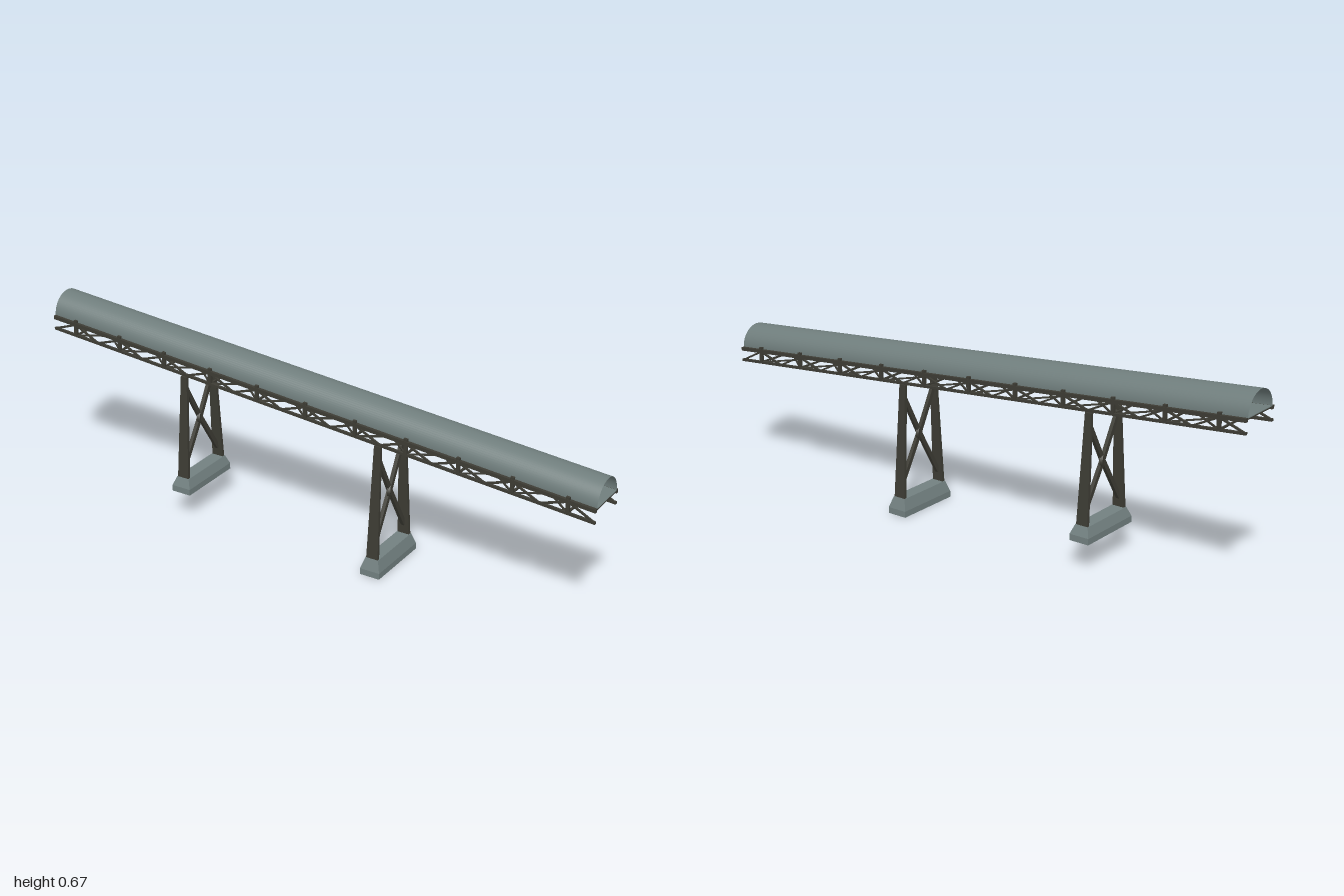
import * as THREE from 'three';
import { mergeGeometries } from 'three/addons/utils/BufferGeometryUtils.js';

const V = (x, y, z) => new THREE.Vector3(x, y, z);

// The gallery slopes down toward +x while its ends stay vertical
const shear = new THREE.Matrix4().set(1, 0, 0, 0, -0.085, 1, 0, 0, 0, 0, 1, 0, 0, 0, 0, 1);

function box(w, h, d, x, y, z) {
  return new THREE.BoxGeometry(w, h, d).translate(x, y, z);
}

// Square bar between two points
function bar(a, b, w, h = w) {
  const dir = b.clone().sub(a);
  const up = Math.abs(dir.y) > 0.95 * dir.length() ? V(1, 0, 0) : V(0, 1, 0);
  const m = new THREE.Matrix4().lookAt(b, a, up);
  m.setPosition(a.clone().add(b).multiplyScalar(0.5));
  return new THREE.BoxGeometry(w, h, dir.length()).applyMatrix4(m);
}

// Box whose top face has its own size and offset in z
function tapered(w0, d0, w1, d1, y0, y1, z0 = 0, z1 = 0) {
  const g = new THREE.BoxGeometry(1, 1, 1).toNonIndexed();
  const p = g.attributes.position;
  for (let i = 0; i < p.count; i++) {
    const top = p.getY(i) > 0;
    p.setXYZ(i, p.getX(i) * (top ? w1 : w0), top ? y1 : y0,
      p.getZ(i) * (top ? d1 : d0) + (top ? z1 : z0));
  }
  g.computeVertexNormals();
  return g;
}

export function createModel() {
  const model = new THREE.Group();
  const cladding = new THREE.MeshStandardMaterial({ color: 0x6f7d7c, side: THREE.DoubleSide });
  cladding.name = 'grey cladding';
  const concrete = new THREE.MeshStandardMaterial({ color: 0x728080 });
  concrete.name = 'grey concrete';
  const steel = new THREE.MeshStandardMaterial({ color: 0x3d3c34 });
  steel.name = 'dark steel';

  function add(parent, name, geos, mat) {
    const mesh = new THREE.Mesh(geos.length > 1 ? mergeGeometries(geos) : geos[0], mat);
    mesh.name = name;
    parent.add(mesh);
    return mesh;
  }

  const gallery = new THREE.Group();
  gallery.name = 'gallery';
  model.add(gallery);
  const sloped = (name, geos, mat) =>
    add(gallery, name, geos.map((g) => g.applyMatrix4(shear)), mat);

  // Half-round roof and floor
  const spring = 0.517, low = 0.471, side = 0.074;
  sloped('roofShell', [new THREE.CylinderGeometry(0.069, 0.069, 2, 32, 1, true, 0, Math.PI)
    .rotateZ(Math.PI / 2).translate(0, spring, 0)], cladding);
  sloped('floorLining', [box(2, 0.002, 0.136, 0, spring - 0.001, 0)], cladding);
  sloped('floorDeck', [box(2, 0.004, 0.14, 0, spring - 0.004, 0)], steel);

  // Side trusses: chords, posts and diagonals
  const panel = 0.182, posts = 11;
  const truss = [], cross = [];
  for (const s of [-1, 1]) {
    const z = s * side;
    truss.push(box(2, 0.012, 0.011, 0, spring - 0.006, z));
    truss.push(box(2, 0.008, 0.009, 0, low, z));
    for (let i = 0; i < posts; i++) {
      const x = (i - 5) * panel;
      truss.push(box(0.012, spring - low + 0.008, 0.009, x, (spring + low) / 2 + 0.004, z));
      for (const e of [-1, 1]) {
        const foot = THREE.MathUtils.clamp(x + e * panel / 2, -0.997, 0.997);
        truss.push(bar(V(x, spring - 0.008, z), V(foot, low, z), 0.006));
      }
    }
  }
  sloped('sideTrusses', truss, steel);

  // Cross beams and lateral bracing between the trusses
  for (let i = 0; i < posts; i++) {
    const x = (i - 5) * panel;
    cross.push(box(0.01, 0.012, 2 * side, x, spring - 0.012, 0));
    cross.push(box(0.006, 0.006, 2 * side, x, low, 0));
    if (i < posts - 1) {
      for (const s of [-1, 1]) {
        cross.push(bar(V(x, low, -s * side), V(x + panel, low, s * side), 0.005));
      }
    }
  }
  sloped('crossBracing', cross, steel);

  // Support towers
  const towers = [
    { x: -0.463, base: 0.095, top: 0.505, cap: 0.147, brace: [0.18, 0.47], mid: 0.33 },
    { x: 0.268, base: 0, top: 0.445, cap: 0.059, brace: [0.095, 0.405], mid: 0.258 },
  ];
  for (const t of towers) {
    const tower = new THREE.Group();
    tower.name = 'supportTower';
    tower.position.x = t.x;
    model.add(tower);

    // Tapered legs leaning inward
    for (const s of [1, -1]) {
      add(tower, s > 0 ? 'frontLeg' : 'backLeg',
        [tapered(0.042, 0.01, 0.023, 0.011, t.cap - 0.005, t.top, s * 0.1, s * 0.077)], steel);
    }

    // Crossed braces with a centre gusset
    const [b0, b1] = t.brace;
    const braces = [];
    for (const s of [-1, 1]) {
      braces.push(bar(V(0, b0, s * 0.095), V(0, t.mid, 0), 0.012, 0.015));
      braces.push(bar(V(0, t.mid, 0), V(0, b1, -s * 0.078), 0.012, 0.015));
    }
    add(tower, 'crossBraces', braces, steel);
    add(tower, 'gusset', [new THREE.CylinderGeometry(0.022, 0.022, 0.01, 8)
      .rotateX(Math.PI / 8).rotateZ(Math.PI / 2).translate(0, t.mid, 0)], steel);

    // Concrete footing with sloped shoulders
    const shoulder = t.base + 0.021;
    add(tower, 'footing', [
      tapered(0.07, 0.237, 0.07, 0.237, t.base, shoulder),
      tapered(0.07, 0.237, 0.046, 0.212, shoulder, t.cap),
    ], concrete);
  }
  return model;
}
